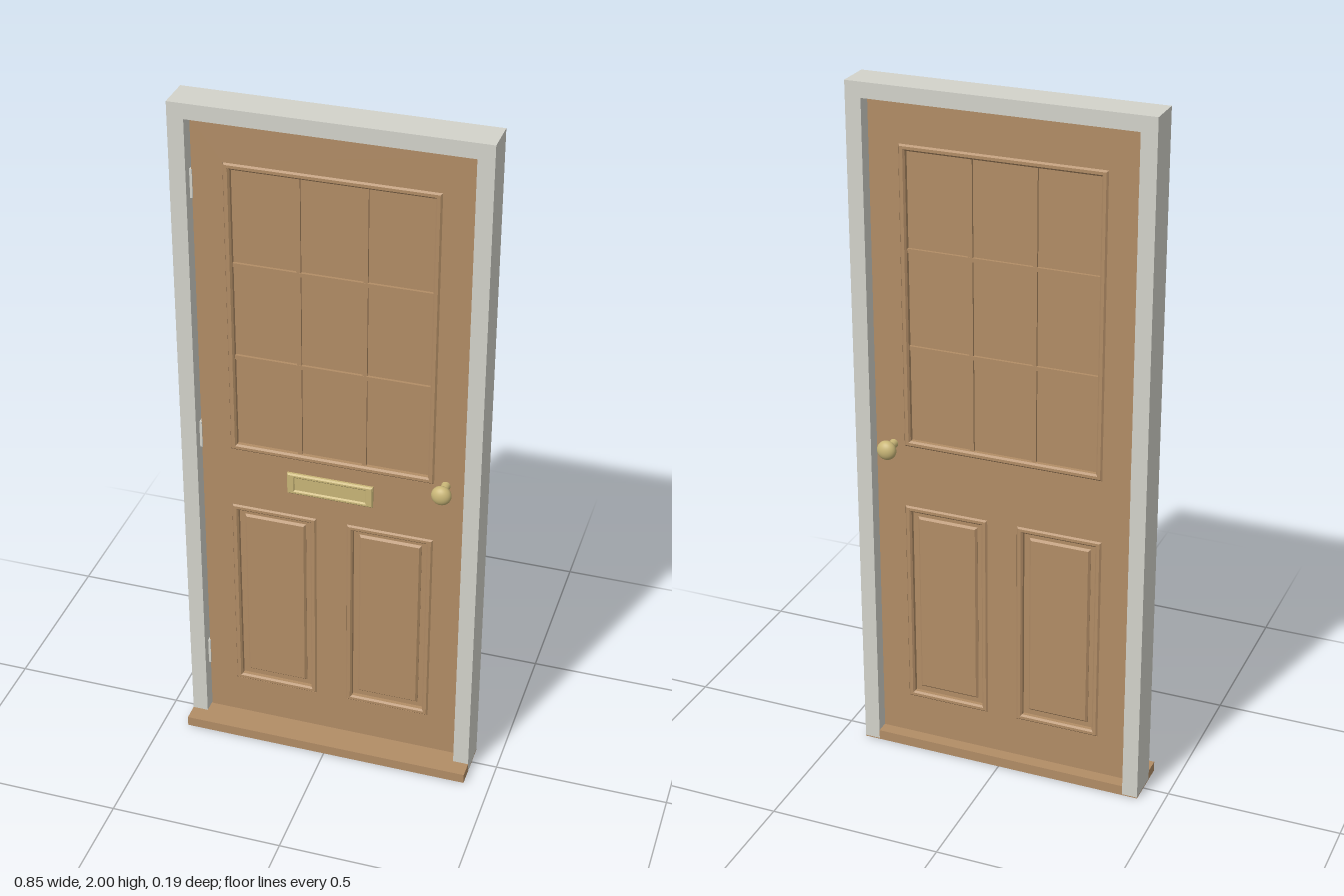
import * as THREE from 'three';

const paint = new THREE.MeshStandardMaterial({ color: 0xd3d3cb });
paint.name = 'pale grey paint';
const wood = new THREE.MeshStandardMaterial({ color: 0xb28d66 });
wood.name = 'warm wood';
const brass = new THREE.MeshStandardMaterial({ color: 0xc9b677 });
brass.name = 'brass';

const DOOR_Z = -0.005; // middle plane of the door leaf
const DOOR_T = 0.044;

function add(parent, name, geometry, material, x = 0, y = 0, z = 0) {
  const mesh = new THREE.Mesh(geometry, material);
  mesh.name = name;
  mesh.position.set(x, y, z);
  parent.add(mesh);
  return mesh;
}

// Box given by its limits on each axis
function block(parent, name, material, [x0, x1], [y0, y1], [z0, z1]) {
  return add(parent, name, new THREE.BoxGeometry(x1 - x0, y1 - y0, z1 - z0), material,
    (x0 + x1) / 2, (y0 + y1) / 2, (z0 + z1) / 2);
}

function rect(Type, [x0, x1, y0, y1], inset = 0) {
  const p = new Type();
  p.moveTo(x0 + inset, y0 + inset);
  p.lineTo(x1 - inset, y0 + inset);
  p.lineTo(x1 - inset, y1 - inset);
  p.lineTo(x0 + inset, y1 - inset);
  p.closePath();
  return p;
}

// Flat plate centred on z = 0, with holes and an optional chamfer on both faces
function plate(outline, holes, thickness, bevel = 0) {
  outline.holes = holes;
  const depth = thickness - 2 * bevel;
  const g = new THREE.ExtrudeGeometry(outline, {
    depth, bevelEnabled: bevel > 0, bevelThickness: bevel, bevelSize: bevel,
    bevelOffset: -bevel, bevelSegments: 1
  });
  return g.translate(0, 0, -depth / 2);
}

export function createModel() {
  const model = new THREE.Group();
  model.name = 'door';

  // Surround: two jambs and a head
  const frame = new THREE.Group();
  frame.name = 'frame';
  model.add(frame);
  const frameZ = [-0.056, 0.046];
  block(frame, 'rightJamb', paint, [-0.425, -0.38], [0.003, 2], frameZ);
  block(frame, 'leftJamb', paint, [0.38, 0.425], [0.003, 2], frameZ);
  block(frame, 'head', paint, [-0.38, 0.38], [1.957, 2], frameZ);

  // Sill: threshold between the jambs, projecting lip, thin base under everything
  block(model, 'threshold', wood, [-0.38, 0.38], [0.003, 0.03], frameZ);
  block(model, 'sillLip', wood, [-0.425, 0.425], [0.003, 0.03], [0.046, 0.095]);
  block(model, 'sillBase', wood, [-0.425, 0.425], [0, 0.003], [-0.056, 0.095]);

  // Door leaf with three openings
  const leaf = new THREE.Group();
  leaf.name = 'leaf';
  leaf.position.z = DOOR_Z;
  model.add(leaf);
  const upper = [-0.29, 0.29, 0.968, 1.838];
  const lower = [[-0.292, -0.044, 0.158, 0.783], [0.044, 0.292, 0.158, 0.783]];
  const openings = [upper, ...lower];
  add(leaf, 'slab', plate(rect(THREE.Shape, [-0.375, 0.375, 0.036, 1.95]),
    openings.map(o => rect(THREE.Path, o)), DOOR_T), wood);

  // Moulding and infill for every opening
  for (const o of openings) {
    add(leaf, 'moulding', plate(rect(THREE.Shape, o), [rect(THREE.Path, o, 0.018)],
      DOOR_T + 0.008, 0.005), wood);
    add(leaf, 'infill', plate(rect(THREE.Shape, o, 0.01), [], 0.02), wood);
  }

  // Raised fields of the lower panels
  for (const o of lower) {
    add(leaf, 'raisedField', plate(rect(THREE.Shape, o, 0.034), [], 0.034, 0.006), wood);
  }

  // Glazing bars in thirds
  for (const s of [-1, 1]) {
    add(leaf, 'uprightBar', new THREE.BoxGeometry(0.012, 0.838, 0.034), wood, s * 0.091, 1.403);
    add(leaf, 'crossBar', new THREE.BoxGeometry(0.548, 0.012, 0.036), wood, 0, 1.403 + s * 0.14);
  }

  // Letter plate on the front
  const letterPlate = new THREE.Group();
  letterPlate.name = 'letterPlate';
  letterPlate.position.set(-0.003, 0.892, DOOR_T / 2);
  leaf.add(letterPlate);
  const flap = [-0.101, 0.101, -0.02, 0.02];
  add(letterPlate, 'surround', plate(rect(THREE.Shape, [-0.123, 0.123, -0.033, 0.033]),
    [rect(THREE.Path, flap)], 0.02, 0.004), brass);
  add(letterPlate, 'flap', plate(rect(THREE.Shape, flap), [], 0.012), brass);

  // A knob on each side
  for (const s of [-1, 1]) {
    const knob = new THREE.Group();
    knob.name = s > 0 ? 'frontKnob' : 'backKnob';
    knob.position.set(0.323, 0.97, s * DOOR_T / 2);
    leaf.add(knob);
    const stem = new THREE.CylinderGeometry(0.01, 0.013, 0.036, 20).rotateX(s * Math.PI / 2);
    add(knob, 'stem', stem, brass, 0, 0, s * 0.018);
    const ball = new THREE.SphereGeometry(0.028, 28, 18).scale(1, 1, 0.74);
    add(knob, 'ball', ball, brass, 0, 0, s * 0.048);
  }

  // Three hinges along the right edge
  for (const y of [0.236, 1.0, 1.766]) {
    block(model, 'hinge', paint, [-0.381, -0.373], [y - 0.041, y + 0.041], [-0.036, 0.02]);
  }
  return model;
}
